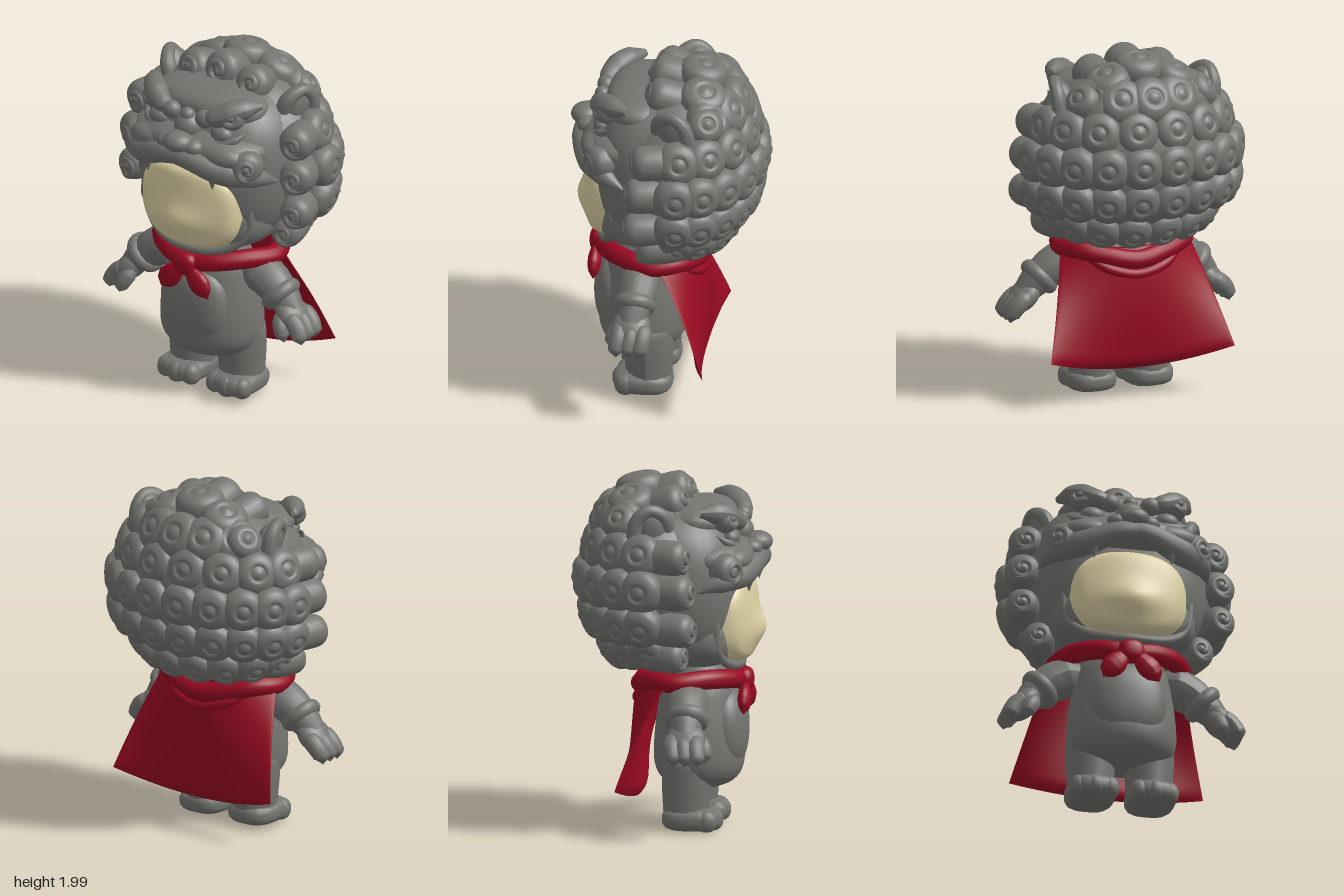
import * as THREE from 'three';

const V = (x, y, z) => new THREE.Vector3(x, y, z);
const stone = new THREE.MeshStandardMaterial({ color: 0x747570 });
const cream = new THREE.MeshStandardMaterial({ color: 0xdccfa3 });
const red = new THREE.MeshStandardMaterial({ color: 0x980a22, side: THREE.DoubleSide });
stone.name = 'stone grey';
cream.name = 'cream';
red.name = 'cape red';

export function createModel() {
  const model = new THREE.Group();
  model.name = 'lionCostumeFigure';

  const add = (name, geometry, material, parent = model) => {
    const mesh = new THREE.Mesh(geometry, material);
    mesh.name = name;
    parent.add(mesh);
    return mesh;
  };
  const both = (fn) => [1, -1].forEach(fn);

  // Rounded solid: a sphere pushed towards a box as the exponent e grows
  const blob = (name, pos, radii, material = stone, e = 2, detail = 24) => {
    const g = new THREE.SphereGeometry(1, detail, Math.round(detail * 0.75));
    const p = g.attributes.position;
    for (let i = 0; i < p.count; i++) {
      const v = V(p.getX(i), p.getY(i), p.getZ(i));
      const k = (Math.abs(v.x) ** e + Math.abs(v.y) ** e + Math.abs(v.z) ** e) ** (-1 / e);
      p.setXYZ(i, v.x * k * radii[0], v.y * k * radii[1], v.z * k * radii[2]);
    }
    g.computeVertexNormals();
    const mesh = add(name, g, material);
    mesh.position.set(...pos);
    return mesh;
  };

  // Tube with a radius that changes along its path
  const sweep = (name, pts, radii, material = stone, parent = model, n = 28) => {
    const curve = new THREE.CatmullRomCurve3(pts.map((p) => V(...p)));
    const g = new THREE.TubeGeometry(curve, n, 1, 14);
    const p = g.attributes.position;
    for (let i = 0; i < p.count; i++) {
      const t = Math.floor(i / 15) / n;
      const f = t * (radii.length - 1);
      const k = Math.min(Math.floor(f), radii.length - 2);
      const r = THREE.MathUtils.lerp(radii[k], radii[k + 1], f - k);
      const c = curve.getPointAt(t);
      const o = V(p.getX(i), p.getY(i), p.getZ(i)).sub(c).multiplyScalar(r).add(c);
      p.setXYZ(i, o.x, o.y, o.z);
    }
    g.computeVertexNormals();
    return add(name, g, material, parent);
  };

  // Puffy curl with a shallow dimple and nub, or a raised spiral when spin is set
  const curl = (name, pos, dir, R, depth = 0.16, spin = 0) => {
    const group = new THREE.Group();
    group.name = name;
    const profile = new THREE.SplineCurve([
      [R * 0.8, -depth], [R * 0.97, -depth * 0.65], [R, -0.07], [R * 0.88, -0.026], [R * 0.62, -0.004],
      [R * 0.44, 0], [R * 0.33, -0.006], [R * 0.18, 0.004], [0, 0.01],
    ].map(([x, y]) => new THREE.Vector2(x, y))).getPoints(22);
    profile.forEach((q) => { q.x = Math.max(q.x, 0); });
    add('curlPuff', new THREE.LatheGeometry(profile, 22), stone, group);
    if (spin) {
      const pts = [];
      for (let i = 0; i <= 12; i++) {
        const a = (i / 12) * Math.PI * 2.6;
        const r = R * (0.74 - 0.66 * (i / 12));
        pts.push([Math.cos(a) * r * spin, -0.022 + 0.02 * (i / 12), Math.sin(a) * r]);
      }
      sweep('curlSpiral', pts, [0, R * 0.24, R * 0.22, R * 0.2, R * 0.22], stone, group, 40);
    }
    group.position.set(...pos);
    group.quaternion.setFromUnitVectors(V(0, 1, 0), V(...dir).normalize());
    model.add(group);
  };

  // Head and hood
  blob('maneCore', [0, 1.4, -0.08], [0.57, 0.5, 0.43], stone, 2, 40);
  blob('hood', [0, 1.38, 0], [0.49, 0.48, 0.41], stone, 2.6, 48);
  blob('chin', [0, 1.1, 0.15], [0.41, 0.19, 0.25], stone, 2.5, 36);

  // Face plate: a domed rounded panel with a turned-back edge and a nose bump
  const faceDepth = (x, y) => 0.475 - 0.85 * x * x - 0.6 * (y - 1.2) ** 2;
  const outline = (a, rx, ry) => {
    const c = Math.cos(a), s = Math.sin(a);
    return [rx * Math.sign(c) * Math.abs(c) ** 0.72, 1.19 + ry * Math.sign(s) * Math.abs(s) ** 0.72];
  };
  const face = new THREE.PlaneGeometry(1, 1, 72, 24);
  const fp = face.attributes.position;
  for (let i = 0; i < fp.count; i++) {
    const rho = 0.5 - fp.getY(i);
    const [ox, oy] = outline((fp.getX(i) + 0.5) * Math.PI * 2, 0.34, 0.255);
    const x = ox * rho, y = 1.19 + (oy - 1.19) * rho;
    const bump = 0.045 * Math.exp(-((x / 0.16) ** 2) - ((y - 1.12) / 0.09) ** 2);
    fp.setXYZ(i, x, y, faceDepth(x, y) + bump - 0.1 * rho ** 18);
  }
  face.computeVertexNormals();
  add('face', face, cream);
  const rim = [];
  for (let i = 0; i < 32; i++) {
    const [x, y] = outline((i / 32) * Math.PI * 2, 0.355, 0.268);
    rim.push(V(x, y, faceDepth(x, y) - 0.05 - 0.3 * x * x));
  }
  add('faceRim', new THREE.TubeGeometry(new THREE.CatmullRomCurve3(rim, true), 80, 0.026, 10, true), stone);

  // Muzzle, nose, upper lip and forehead
  blob('muzzle', [0, 1.545, 0.24], [0.43, 0.125, 0.24], stone, 2.3, 32);
  blob('noseBridge', [0, 1.665, 0.365], [0.085, 0.08, 0.085]);
  blob('noseTip', [0, 1.605, 0.47], [0.09, 0.06, 0.085]);
  sweep('upperLip', [[-0.485, 1.38, 0.18], [-0.41, 1.435, 0.31], [-0.25, 1.465, 0.42], [-0.09, 1.515, 0.475], [0, 1.525, 0.48],
    [0.09, 1.515, 0.475], [0.25, 1.465, 0.42], [0.41, 1.435, 0.31], [0.485, 1.38, 0.18]],
  [0, 0.06, 0.075, 0.065, 0.055, 0.065, 0.075, 0.06, 0], stone, model, 56);
  blob('forehead', [0, 1.745, 0.15], [0.36, 0.105, 0.2], stone, 2.3, 32);
  blob('browNub', [0, 1.735, 0.38], [0.042, 0.042, 0.042]);

  both((s) => {
    blob('nostril', [s * 0.09, 1.585, 0.45], [0.062, 0.048, 0.06]);
    blob('muzzleCheek', [s * 0.22, 1.545, 0.375], [0.16, 0.075, 0.095]);
    curl('cheekSwirl', [s * 0.415, 1.5, 0.395], [s * 0.65, 0, 0.85], 0.098, 0.18, s);
    const fang = add('fang', new THREE.ConeGeometry(0.038, 0.1, 14), stone);
    fang.position.set(s * 0.22, 1.405, 0.45);
    fang.rotation.x = Math.PI;
    // Eyes and brows
    blob('eye', [s * 0.21, 1.66, 0.35], [0.068, 0.05, 0.05]);
    sweep('lowerLid', [[s * 0.11, 1.645, 0.385], [s * 0.2, 1.615, 0.385], [s * 0.29, 1.635, 0.345], [s * 0.35, 1.69, 0.28]], [0, 0.025, 0.025, 0]);
    sweep('brow', [[s * 0.08, 1.74, 0.37], [s * 0.18, 1.755, 0.365], [s * 0.28, 1.8, 0.3], [s * 0.37, 1.815, 0.19]],
      [0.02, 0.055, 0.068, 0.058, 0.02]);
    blob('innerBrow', [s * 0.115, 1.735, 0.375], [0.058, 0.052, 0.05]);
    curl('browSwirl', [s * 0.29, 1.78, 0.37], [s * 0.5, 0.3, 0.85], 0.075, 0.1, -s);
    // Ears
    sweep('earRim', [[s * 0.36, 1.66, 0.01], [s * 0.41, 1.79, 0], [s * 0.455, 1.835, -0.08], [s * 0.465, 1.78, -0.145], [s * 0.455, 1.62, -0.17]],
      [0.045, 0.044, 0.036, 0.042, 0.045]);
    const ear = blob('earShell', [s * 0.405, 1.71, -0.09], [0.065, 0.14, 0.1]);
    ear.rotation.z = -s * 0.25;
    // Forward-facing curls at the edge of the mane
    [[0.465, 1.02, 0.12, 0.092], [0.57, 1.185, 0.18, 0.095], [0.565, 1.395, 0.17, 0.102], [0.54, 1.585, 0.14, 0.1]]
      .forEach(([x, y, z, r]) => curl('maneEdgeCurl', [s * x, y, z], [s * 0.25, 0, 1], r, 0.27, s));
    curl('foreheadCurl', [s * 0.215, 1.865, 0.09], [s * 0.25, 0.35, 1], 0.105, 0.26, s);
    curl('crownCurl', [s * 0.22, 1.91, -0.23], [s * 0.4, 1, -0.25], 0.135, 0.18);
    curl('templeCurl', [s * 0.4, 1.79, -0.27], [s * 0.8, 0.6, -0.4], 0.105, 0.16);
  });
  curl('foreheadCurl', [0, 1.9, 0.1], [0, 0.25, 1], 0.11, 0.28, 1);
  curl('crownCurl', [0, 1.975, -0.2], [0, 1, -0.2], 0.14, 0.18);

  // Rows of curls: height, drop at the back, x radius, z radius, count, start angle, size
  [[1.02, 0.05, 0.5, 0.34, 8, 0.15, 0.115], [1.18, 0, 0.64, 0.465, 10, 0.14, 0.12], [1.4, 0, 0.66, 0.505, 10, 0.14, 0.125],
    [1.61, 0, 0.59, 0.455, 8, 0.18, 0.125], [1.79, 0, 0.44, 0.385, 5, 0.72, 0.135]].forEach(([y, drop, rx, rz, n, a0, R]) => {
    for (let i = 0; i < n; i++) {
      const t = a0 + ((Math.PI - 2 * a0) * i) / (n - 1);
      const x = rx * Math.cos(t), z = -rz * Math.sin(t);
      curl('maneCurl', [x, y - drop * Math.sin(t), z - 0.05], [x / 0.43, (y - 1.42) / 0.48, z / 0.27], R);
    }
  });

  // Body
  const torso = new THREE.LatheGeometry(new THREE.SplineCurve(
    [[0, 0.22], [0.17, 0.24], [0.265, 0.29], [0.305, 0.38], [0.3, 0.54], [0.275, 0.7], [0.25, 0.8], [0.19, 0.93]]
      .map((q) => new THREE.Vector2(...q))).getPoints(30), 40);
  torso.scale(1, 1, 0.82);
  add('torso', torso, stone).position.z = 0.145;
  blob('bellyPatch', [0, 0.56, 0.295], [0.22, 0.24, 0.125], stone, 2.3, 36);

  both((s) => {
    // Legs and feet
    sweep('leg', [[s * 0.165, 0.03, 0.095], [s * 0.165, 0.18, 0.095], [s * 0.165, 0.32, 0.1], [s * 0.155, 0.48, 0.12]], [0.125, 0.132, 0.14, 0.145, 0.1]);
    blob('foot', [s * 0.17, 0.07, 0.125], [0.14, 0.068, 0.165], stone, 3);
    [-0.085, 0, 0.085].forEach((d, i) => blob('toe', [s * (0.17 + d), 0.066, [0.225, 0.24, 0.215][i]], [0.054, 0.062, 0.06], stone, 2.3, 16));
    // Arms, cuffs and paws
    sweep('arm', [[s * 0.2, 0.78, 0.12], [s * 0.34, 0.75, 0.12], [s * 0.46, 0.67, 0.13], [s * 0.55, 0.58, 0.14]], [0.06, 0.115, 0.11, 0.095, 0.07]);
    const cuff = add('cuff', new THREE.TorusGeometry(0.078, 0.043, 14, 28), stone);
    cuff.position.set(s * 0.46, 0.67, 0.135);
    cuff.quaternion.setFromUnitVectors(V(0, 0, 1), V(s * 0.72, -0.7, 0).normalize());
    const paw = blob('paw', [s * 0.55, 0.57, 0.14], [0.115, 0.07, 0.11]);
    paw.rotation.z = -s * 0.8;
    [0.07, 0.135, 0.2].forEach((z) => sweep('finger',
      [[s * 0.54, 0.59, z], [s * 0.61, 0.535, z], [s * 0.645, 0.48, z + 0.01], [s * 0.655, 0.435, z + 0.01]], [0.03, 0.05, 0.052, 0.05, 0.046, 0], stone, model, 20));
    sweep('thumb', [[s * 0.5, 0.58, 0.2], [s * 0.54, 0.51, 0.24], [s * 0.565, 0.44, 0.245]], [0.03, 0.046, 0.046, 0.04, 0], stone, model, 20);
  });

  // Cape: a flattened tube flaring downwards and swept back at the corners
  const cape = new THREE.PlaneGeometry(1, 1, 64, 28);
  const cp = cape.attributes.position;
  for (let i = 0; i < cp.count; i++) {
    const a = (cp.getX(i) + 0.5) * Math.PI * 2;
    const v = 0.5 - cp.getY(i);
    const u = Math.cos(a);
    const thick = 0.03 * Math.sin(a) * Math.min(1, Math.sqrt(Math.max(0, (1 - v) * 12)), 0.3 + v * 8);
    const z = THREE.MathUtils.lerp(-0.17 + 0.19 * u * u, -0.18 - 0.08 * u * u, v);
    cp.setXYZ(i, u * (0.38 + 0.17 * v), 0.87 - v * (0.69 - 0.09 * u * u), z + thick - 0.02 * Math.sin(Math.PI * v));
  }
  cape.computeVertexNormals();
  add('cape', cape, red);

  // Collar, back fold, knot and tails
  const half = [[0.15, 0.855, 0.335], [0.29, 0.868, 0.22], [0.36, 0.855, 0.06], [0.31, 0.86, -0.07], [0.17, 0.83, -0.15]];
  const loop = [[0, 0.835, 0.365], ...half, [0, 0.8, -0.18], ...half.map(([x, y, z]) => [-x, y, z]).reverse()];
  const collar = new THREE.CatmullRomCurve3(loop.map((p) => V(...p)), true);
  add('collar', new THREE.TubeGeometry(collar, 80, 0.055, 14, true), red);
  sweep('backFold', [[-0.3, 0.85, -0.08], [-0.18, 0.765, -0.165], [0, 0.72, -0.19], [0.18, 0.765, -0.165], [0.3, 0.85, -0.08]], [0.02, 0.032, 0.035, 0.032, 0.02], red);
  blob('knot', [0, 0.83, 0.4], [0.075, 0.068, 0.05], red, 2.5);
  both((s) => {
    const tail = sweep('scarfTail', [[s * 0.02, 0.82, 0], [s * 0.07, 0.765, 0], [s * 0.12, 0.71, 0], [s * 0.16, 0.655, 0]], [0.02, 0.045, 0.062, 0.066, 0.05, 0], red);
    tail.scale.z = 0.6;
    tail.position.z = 0.41;
  });
  return model;
}
